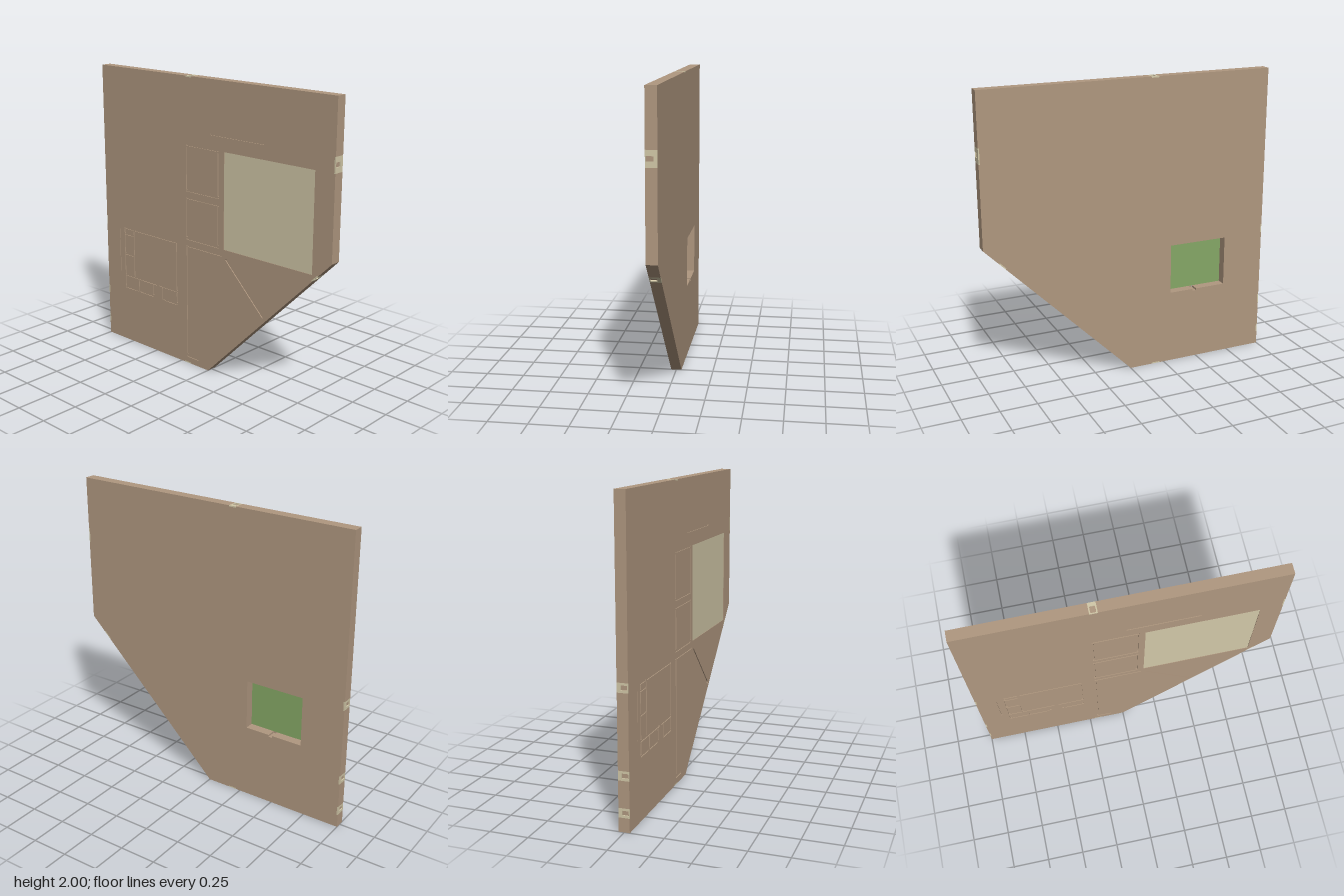
import * as THREE from 'three';

const BACK = -0.035, FRONT = 0.035, SKIN = 0.006, NOTCH = 0.008;
const tan = new THREE.MeshStandardMaterial({ color: 0xb09880 });
const cream = new THREE.MeshStandardMaterial({ color: 0xd2c8a8 });
const green = new THREE.MeshStandardMaterial({ color: 0x86a866 });

// Outline corners, counter-clockwise
const corners = [[-1, 0], [0, 0], [1, 1], [1, 2], [-1, 2]].map(p => new THREE.Vector2(...p));

// Edge ports: edge index, centre, plate length, slot length
const ports = [
  [0, -0.19, 0, 0.06, 0.03],
  [1, 0.88, 0.88, 0.06, 0.03],
  [2, 1, 1.6, 0.1, 0.03],
  [3, -0.17, 2, 0.05, 0.034],
  [4, -1, 0.88, 0.06, 0.03],
  [4, -1, 0.35, 0.06, 0.03],
  [4, -1, 0.12, 0.06, 0.03],
].map(([edge, x, y, length, slot]) => ({ edge, at: new THREE.Vector2(x, y), length, slot }));

// Engraved lines: x1, y1, x2, y2, width
const W = 0.011;
const grooves = [
  // upper wall and two square rooms
  [0.02, 1.648, 0.48, 1.648], [-0.195, 1.549, 0.1, 1.549], [-0.195, 1.241, 0.1, 1.241],
  [-0.19, 1.25, -0.19, 1.535], [0.092, 1.25, 0.092, 1.535],
  [-0.195, 1.191, 0.1, 1.191], [-0.195, 0.906, 0.1, 0.906],
  [-0.19, 0.92, -0.19, 1.18], [0.092, 0.92, 0.092, 1.18],
  // tall room below
  [-0.195, 0.857, 0.125, 0.857], [-0.19, 0.07, -0.19, 0.848], [-0.195, 0.05, -0.09, 0.05, 0.014],
  [0.16, 0.84, 0.48, 0.52, 0.016],
  // small rooms around the square one
  [-0.863, 0.52, -0.863, 0.84, 0.005],
  [-0.815, 0.857, -0.723, 0.857], [-0.707, 0.857, -0.285, 0.857],
  [-0.29, 0.512, -0.29, 0.848], [-0.715, 0.512, -0.715, 0.846],
  [-0.81, 0.822, -0.81, 0.848], [-0.81, 0.672, -0.81, 0.802], [-0.81, 0.512, -0.81, 0.652],
  [-0.815, 0.812, -0.724, 0.812], [-0.815, 0.662, -0.724, 0.662],
  [-0.815, 0.502, -0.49, 0.502], [-0.465, 0.502, -0.285, 0.502],
  [-0.815, 0.408, -0.685, 0.408], [-0.66, 0.408, -0.53, 0.408], [-0.42, 0.408, -0.285, 0.408],
  [-0.81, 0.418, -0.81, 0.492], [-0.67, 0.405, -0.67, 0.492], [-0.523, 0.418, -0.523, 0.492],
  [-0.433, 0.405, -0.433, 0.492], [-0.29, 0.418, -0.29, 0.492],
];

const rect = (x1, y1, x2, y2) => [[x1, y1], [x2, y1], [x2, y2], [x1, y2]].map(p => new THREE.Vector2(...p));

// Thin rectangle along a line
function strip([x1, y1, x2, y2, width = W]) {
  const a = new THREE.Vector2(x1, y1), b = new THREE.Vector2(x2, y2);
  const d = b.clone().sub(a).normalize();
  const n = new THREE.Vector2(-d.y, d.x).multiplyScalar(width / 2);
  return [a.clone().sub(n), b.clone().sub(n), b.clone().add(n), a.clone().add(n)];
}

function edgeDirection(i) {
  return corners[(i + 1) % corners.length].clone().sub(corners[i]).normalize();
}

// Outline with a shallow notch for every port
function outline() {
  const points = [];
  corners.forEach((corner, i) => {
    points.push(corner);
    const d = edgeDirection(i), inward = new THREE.Vector2(-d.y, d.x).multiplyScalar(NOTCH);
    ports.filter(p => p.edge === i).forEach(p => {
      const a = p.at.clone().addScaledVector(d, -p.length / 2);
      const b = p.at.clone().addScaledVector(d, p.length / 2);
      points.push(a, a.clone().add(inward), b.clone().add(inward), b);
    });
  });
  return points;
}

function slab(name, points, holes, z1, z2, material) {
  const shape = new THREE.Shape(points);
  shape.holes = holes.map(h => new THREE.Path(h));
  const geometry = new THREE.ExtrudeGeometry(shape, { depth: z2 - z1, bevelEnabled: false });
  const mesh = new THREE.Mesh(geometry.translate(0, 0, z1), material);
  mesh.name = name;
  return mesh;
}

export function createModel() {
  const model = new THREE.Group();
  model.name = 'wallPanel';
  const skinZ = FRONT - SKIN;

  // Core with a square pocket open at the back, notched in its sill
  const pocket = [[-0.708, 0.508], [-0.495, 0.508], [-0.495, 0.495], [-0.468, 0.495], [-0.468, 0.508],
    [-0.297, 0.508], [-0.297, 0.85], [-0.708, 0.85]].map(p => new THREE.Vector2(...p));
  model.add(slab('core', outline(), [pocket], BACK, skinZ, tan));

  // Engraved front skin with an opening for the inlay
  const inlay = rect(0.14, 0.902, 0.857, 1.55);
  model.add(slab('engravedFront', outline(), [inlay, ...grooves.map(strip)], skinZ, FRONT, tan));
  model.add(slab('inlay', inlay, [], skinZ, FRONT - 0.003, cream));

  // Green floor of the pocket
  model.add(slab('pocketFloor', rect(-0.708, 0.508, -0.297, 0.85), [], skinZ - 0.002, skinZ + 0.001, green));

  // Slotted plates set into the edges
  ports.forEach(({ edge, at, length, slot }) => {
    const d = edgeDirection(edge);
    const plate = slab('edgePort', rect(-length / 2, BACK, length / 2, FRONT),
      [rect(-slot / 2, -0.012, slot / 2, 0.03)], -NOTCH, 0, cream);
    const along = new THREE.Vector3(d.x, d.y, 0);
    const outward = new THREE.Vector3(d.y, -d.x, 0);
    // local x runs along the edge, y through the thickness, z outward
    const across = outward.clone().cross(along);
    plate.quaternion.setFromRotationMatrix(new THREE.Matrix4().makeBasis(along, across, outward));
    plate.position.set(at.x, at.y, 0);
    model.add(plate);
  });
  return model;
}
